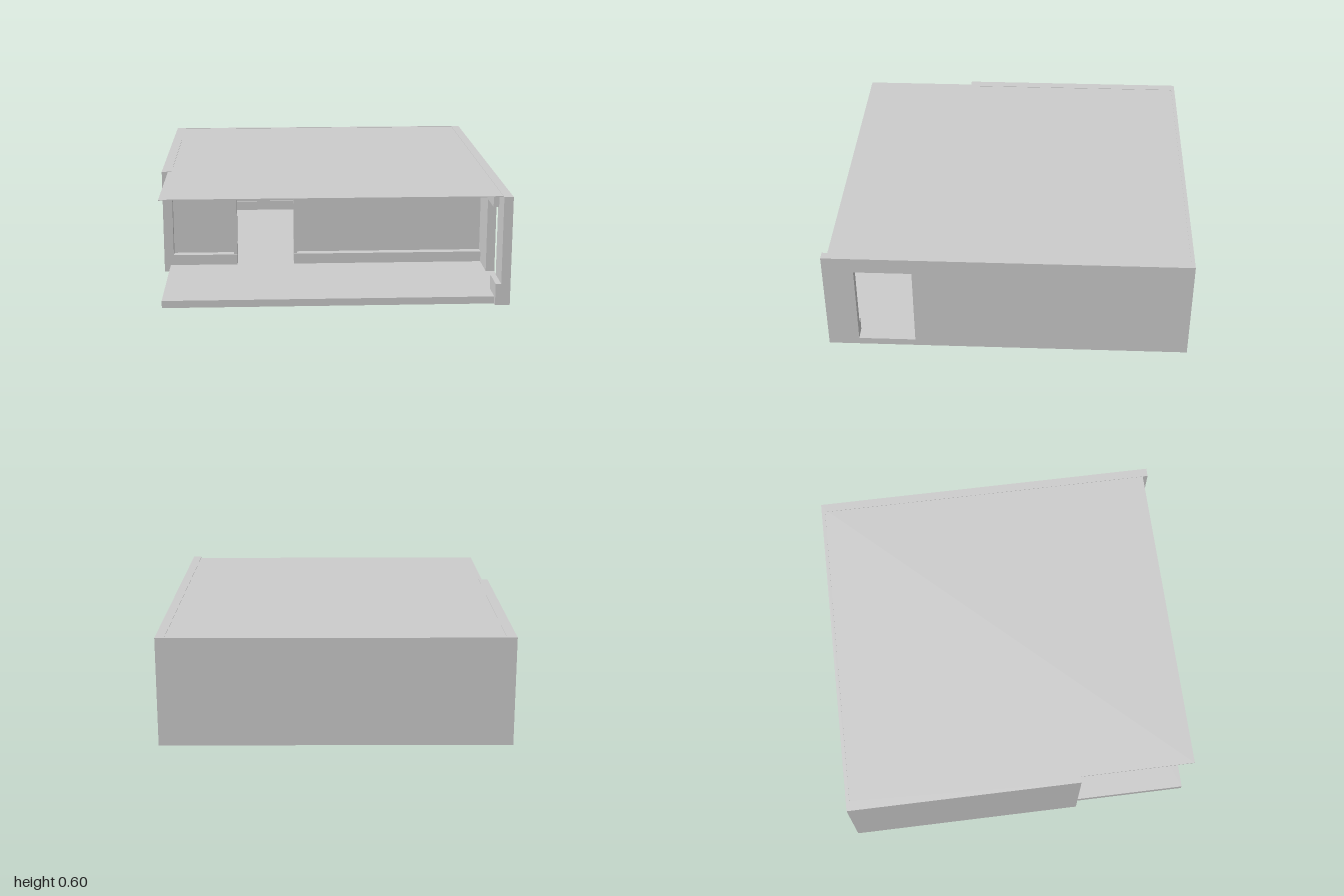
import * as THREE from 'three';

const material = new THREE.MeshStandardMaterial({ color: 0xcccccc, flatShading: true });

export function createModel() {
  const model = new THREE.Group();

  const add = (name, geometry) => {
    const mesh = new THREE.Mesh(geometry, material);
    mesh.name = name;
    model.add(mesh);
    return mesh;
  };
  // Box given by its lower and upper corner
  const box = (name, x0, x1, y0, y1, z0, z1) =>
    add(name, new THREE.BoxGeometry(x1 - x0, y1 - y0, z1 - z0)
      .translate((x0 + x1) / 2, (y0 + y1) / 2, (z0 + z1) / 2));
  // Upright panel with rectangular openings, each [u0, u1, v0, v1]
  const rect = (P, [u0, u1, v0, v1]) => {
    const p = new P();
    p.moveTo(u0, v0).lineTo(u1, v0).lineTo(u1, v1).lineTo(u0, v1).closePath();
    return p;
  };
  const panel = (outline, holes, depth) => {
    const shape = rect(THREE.Shape, outline);
    shape.holes = holes.map(h => rect(THREE.Path, h));
    return new THREE.ExtrudeGeometry(shape, { depth, bevelEnabled: false });
  };

  // Floor slab: full width indoors, slightly narrower on the terrace
  box('roomFloor', -0.955, 0.95, 0, 0.04, -1, 0.32);
  box('terraceFloor', -0.92, 0.9, 0, 0.04, 0.32, 0.97);

  // Thin roof over rooms and terrace
  box('roof', -0.92, 0.92, 0.593, 0.598, -0.98, 0.97);

  // Side wall that runs past the terrace, with a doorway (panel u = -z)
  add('longSideWall', panel([-1, 1, 0, 0.6], [[-0.83, -0.515, 0.04, 0.51]], 0.05)
    .rotateY(Math.PI / 2).translate(0.9, 0, 0));
  box('terraceCurb', 0.87, 0.9, 0, 0.12, 0.83, 1);
  box('doorwayHead', 0.87, 0.9, 0.51, 0.565, 0.49, 0.86);
  box('shortSideWall', -0.955, -0.9, 0, 0.6, -1, 0.32);

  // Back wall: closed outside, window recesses inside
  const windows = [[-0.66, -0.44], [-0.3, -0.07], [0.48, 0.7]];
  box('backWall', -0.955, 0.95, 0, 0.6, -1, -0.98);
  add('backWallLining', panel([-0.9, 0.9, 0.04, 0.593],
    windows.map(([a, b]) => [a, b, 0.17, 0.53]), 0.03).translate(0, 0, -0.98));
  for (const [a, b] of windows) {
    add('backWindowFrame', panel([a, b, 0.17, 0.53],
      [[a + 0.015, b - 0.015, 0.185, 0.345], [a + 0.015, b - 0.015, 0.36, 0.515]], 0.015)
      .translate(0, 0, -0.98));
  }
  box('baseboard', -0.9, 0.9, 0.04, 0.1, -0.95, -0.94);
  box('partitionWall', 0.24, 0.27, 0.04, 0.593, -0.95, 0.25);

  // Terrace front: low sills with recessed glazing on both sides of the door
  for (const [a, b] of [[-0.94, -0.53], [-0.2, 0.9]]) {
    box('windowSill', a, b, 0.04, 0.1, 0.22, 0.32);
    box('windowGlazing', Math.max(a, -0.9), b, 0.1, 0.593, 0.25, 0.27);
  }

  // Door surround: two jambs and a deep head
  for (const x of [-0.55, -0.2]) box('doorJamb', x, x + 0.02, 0.1, 0.57, 0.22, 0.31);
  box('doorHead', -0.55, -0.18, 0.51, 0.57, 0.22, 0.31);
  box('doorTopPanel', -0.55, -0.18, 0.57, 0.593, 0.25, 0.27);

  return model;
}
